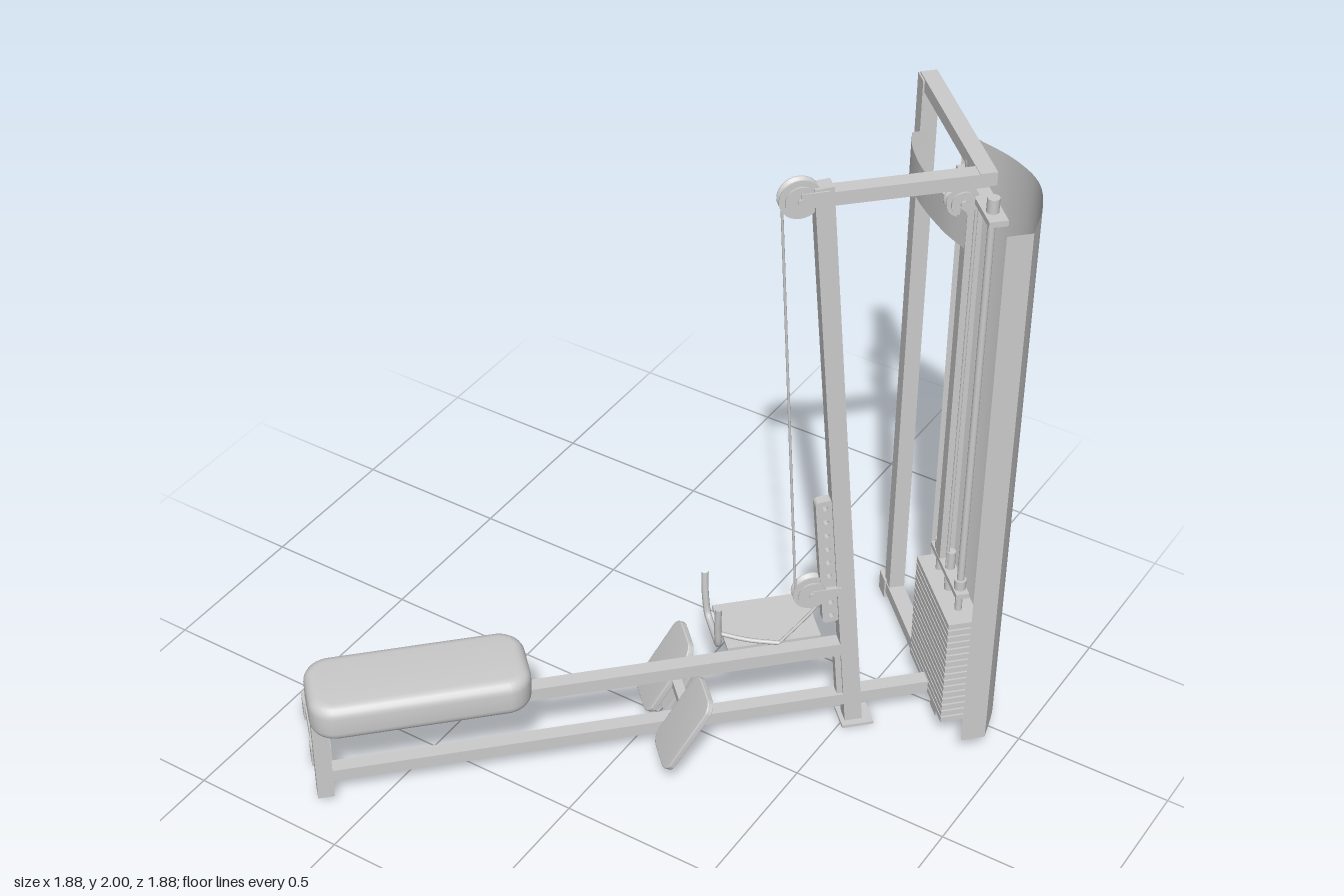
import * as THREE from 'three';
import { toCreasedNormals } from 'three/addons/utils/BufferGeometryUtils.js';

const grey = new THREE.MeshStandardMaterial({ color: 0xcccccc });
const thin = new THREE.MeshStandardMaterial({ color: 0xcccccc, side: THREE.DoubleSide });
const MID = 0.147; // centre line of the bench and tower, along local z

// Local frame: x runs along the bench toward the tower, z across it.
export function createModel() {
  const model = new THREE.Group();
  const rig = new THREE.Group();
  rig.name = 'rowMachine';
  rig.rotation.y = Math.PI / 4;
  model.add(rig);

  const add = (name, geo, x = 0, y = 0, z = 0, mat = grey) => {
    const m = new THREE.Mesh(geo, mat);
    m.name = name;
    m.position.set(x, y, z);
    rig.add(m);
    return m;
  };
  // box given by its extents on each axis
  const box = (name, x0, x1, y0, y1, z0, z1) =>
    add(name, new THREE.BoxGeometry(x1 - x0, y1 - y0, z1 - z0), (x0 + x1) / 2, (y0 + y1) / 2, (z0 + z1) / 2);
  const rod = (name, x, y0, y1, z, r) =>
    add(name, new THREE.CylinderGeometry(r, r, y1 - y0, 16), x, (y0 + y1) / 2, z);
  const tube = (name, pts, r, seg = 32) => add(name, new THREE.TubeGeometry(
    new THREE.CatmullRomCurve3(pts.map(p => new THREE.Vector3(...p)), false, 'centripetal'), seg, r, 8));

  // rounded slab lying flat, centred on its origin
  const roundedRect = (w, h, r) => {
    const s = new THREE.Shape(), a = w / 2 - r, b = h / 2 - r;
    s.absarc(a, b, r, 0, Math.PI / 2);
    s.absarc(-a, b, r, Math.PI / 2, Math.PI);
    s.absarc(-a, -b, r, Math.PI, Math.PI * 1.5);
    s.absarc(a, -b, r, Math.PI * 1.5, Math.PI * 2);
    s.closePath();
    return s;
  };
  const slab = (w, h, t, r, bevel) => {
    const g = new THREE.ExtrudeGeometry(roundedRect(w - 2 * bevel, h - 2 * bevel, r - bevel), {
      depth: t - 2 * bevel, bevelThickness: bevel, bevelSize: bevel, bevelSegments: 5, curveSegments: 8 });
    g.translate(0, 0, bevel - t / 2);
    g.rotateX(-Math.PI / 2);
    return toCreasedNormals(g, 0.7);
  };

  // upright sheet following a plan line of [x, z] points
  const sheet = (name, pts, y0, y1) => {
    const pos = [], idx = [];
    pts.forEach(([x, z], i) => {
      pos.push(x, y0, z, x, y1, z);
      if (i) idx.push(2 * i - 2, 2 * i, 2 * i - 1, 2 * i - 1, 2 * i, 2 * i + 1);
    });
    const g = new THREE.BufferGeometry();
    g.setAttribute('position', new THREE.Float32BufferAttribute(pos, 3));
    g.setIndex(idx);
    return add(name, toCreasedNormals(g, 0.4), 0, 0, 0, thin);
  };
  const arc = pts => new THREE.SplineCurve(pts.map(p => new THREE.Vector2(...p))).getPoints(24).map(v => [v.x, v.y]);

  // seat, its post and the two bench rails
  add('seat', slab(0.66, 0.26, 0.125, 0.08, 0.035), -0.76, 0.393, MID);
  box('seatPost', -1.085, -1.035, 0.02, 0.335, MID - 0.025, MID + 0.025);
  box('upperRail', -1.04, 0.56, 0.285, 0.33, MID - 0.023, MID + 0.023);
  box('lowerRail', -1.04, 0.86, 0.08, 0.122, MID - 0.023, MID + 0.023);

  // floor bars with end caps
  const floorBar = (name, x, z0, z1) => {
    box(name, x - 0.026, x + 0.026, 0.025, 0.065, z0, z1);
    for (const z of [z0 + 0.025, z1 - 0.025])
      box(name + 'Cap', x - 0.031, x + 0.031, 0.003, 0.073, z - 0.028, z + 0.028);
  };
  floorBar('rearFoot', -1.054, -0.25, 0.008);
  floorBar('towerFoot', 0.868, -0.43, 0.2);

  // leaning column, base plate and top frame
  const foot = new THREE.Vector2(0.582, 0), head = new THREE.Vector2(0.415, 1.97);
  const lean = Math.atan2(foot.x - head.x, head.y);
  const column = add('leaningColumn', new THREE.BoxGeometry(0.055, foot.distanceTo(head), 0.046),
    (foot.x + head.x) / 2, 0.988, MID);
  column.rotation.z = lean;
  box('basePlate', 0.54, 0.64, 0, 0.01, MID - 0.045, MID + 0.045);
  box('topBeam', 0.42, 0.88, 1.915, 1.958, MID - 0.023, MID + 0.023);
  box('topCrossbar', 0.85, 0.9, 1.918, 1.96, -0.395, 0.17);
  box('backPost', 0.845, 0.895, 0.06, 1.955, -0.4, -0.35);

  // foot plates with brackets, leaning toward the tower
  const tilt = Math.PI / 3;
  for (const side of [-1, 1]) {
    const plate = add('footPlate', slab(0.28, 0.165, 0.02, 0.04, 0.004), 0.016, 0.205, MID + side * 0.13);
    plate.rotation.z = tilt;
    const bracket = add('footBracket', new THREE.BoxGeometry(0.2, 0.012, 0.04), 0.045, 0.2, MID + side * 0.045);
    bracket.rotation.z = tilt;
  }
  box('footBar', 0.02, 0.05, 0.19, 0.22, MID - 0.16, MID + 0.16);

  // handle tray and U handle
  box('handleTray', 0.184, 0.476, 0.333, 0.343, -0.076, 0.129);
  tube('handle', [[0.15, 0.52, -0.035], [0.15, 0.44, -0.025], [0.155, 0.37, -0.012], [0.158, 0.355, 0.01],
    [0.158, 0.355, 0.11], [0.155, 0.37, 0.128], [0.15, 0.44, 0.138], [0.15, 0.52, 0.145]], 0.011, 48);
  tube('handleStrap', [[0.158, 0.355, 0.06], [0.25, 0.35, 0.11], [0.34, 0.352, MID]], 0.007);

  // perforated plates in front of the column
  const perforated = (name, x, y, length, count) => {
    const shape = roundedRect(0.055, length, 0.015);
    for (let i = 0; i < count; i++) {
      const hole = new THREE.Path();
      hole.absarc(0, (i - (count - 1) / 2) * (length / count), 0.009, 0, Math.PI * 2, true);
      shape.holes.push(hole);
    }
    const g = new THREE.ExtrudeGeometry(shape, { depth: 0.03, bevelEnabled: false, curveSegments: 8 });
    add(name, g.translate(0, 0, -0.015), x, y, MID).rotation.z = lean;
  };
  perforated('adjustmentPlate', 0.478, 0.655, 0.47, 9);
  perforated('lowerPlate', 0.548, 0.185, 0.19, 4);

  // pulleys: grooved wheel between two cheeks
  const pulley = (name, x, y, r) => {
    const w = 0.014;
    const profile = [[0, -w], [r, -w], [r, -w * 0.7], [r * 0.8, 0], [r, w * 0.7], [r, w], [0, w]];
    const wheel = new THREE.LatheGeometry(profile.map(p => new THREE.Vector2(...p)), 28);
    add(name, toCreasedNormals(wheel.rotateX(Math.PI / 2), 0.5), x, y, MID);
    for (const side of [-1, 1]) {
      const cheek = new THREE.CylinderGeometry(r * 0.75, r * 0.75, 0.006, 20).rotateX(Math.PI / 2);
      add(name + 'Cheek', cheek, x, y, MID + side * 0.022);
    }
    add(name + 'Axle', new THREE.CylinderGeometry(0.011, 0.011, 0.065, 12).rotateX(Math.PI / 2), x, y, MID);
  };
  pulley('topPulley', 0.352, 1.94, 0.06);
  pulley('towerPulley', 0.81, 1.872, 0.048);
  pulley('lowPulley', 0.432, 0.545, 0.058);
  box('topPulleyBracket', 0.35, 0.43, 1.925, 1.965, MID - 0.028, MID + 0.028);
  box('lowPulleyBracket', 0.43, 0.52, 0.53, 0.56, MID - 0.028, MID + 0.028);

  // cables
  tube('longCable', [[0.304, 1.925, MID], [0.384, 0.56, MID]], 0.004);
  tube('handleCable', [[0.46, 0.49, MID], [0.43, 0.45, MID], [0.34, 0.352, MID]], 0.005);
  rod('stackCable', 0.855, 0.5, 1.87, MID, 0.005);

  // weight stack, guide rods and carriage
  const plates = 16, pitch = 0.025;
  for (let i = 0; i < plates; i++)
    box('weightPlate', 0.816, 0.916, 0.08 + i * pitch, 0.099 + i * pitch, MID - 0.165, MID + 0.165);
  box('stackCore', 0.83, 0.902, 0.07, 0.47, MID - 0.15, MID + 0.15);
  for (const side of [-1, 1]) {
    rod('guideRod', 0.866, 0.06, 1.9, MID + side * 0.097, 0.011);
    rod('rodCollar', 0.866, 0.53, 0.59, MID + side * 0.097, 0.018);
    rod('rodCap', 0.866, 1.87, 1.93, MID + side * 0.097, 0.018);
  }
  box('carriage', 0.845, 0.885, 0.54, 0.557, MID - 0.13, MID + 0.13);
  rod('selectorStem', 0.866, 0.47, 0.62, MID, 0.014);
  box('rodHolder', 0.84, 0.895, 1.868, 1.886, MID - 0.15, MID + 0.15);
  box('centreTube', 0.845, 0.89, 0.56, 1.87, 0.066, 0.106);

  // curved rear shroud and short front strip
  sheet('rearShroud', [[0.888, -0.099], [0.933, -0.099],
    ...arc([[0.933, -0.098], [0.997, 0.02], [1.026, MID], [0.997, 0.272], [0.933, 0.391]]),
    [0.933, 0.392], [0.857, 0.392]], 0.07, 1.9);
  sheet('frontStrip', [[0.834, -0.24],
    ...arc([[0.785, -0.237], [0.764, -0.17], [0.757, -0.05], [0.778, 0.1], [0.81, 0.2]])], 1.745, 1.86);

  return model;
}
